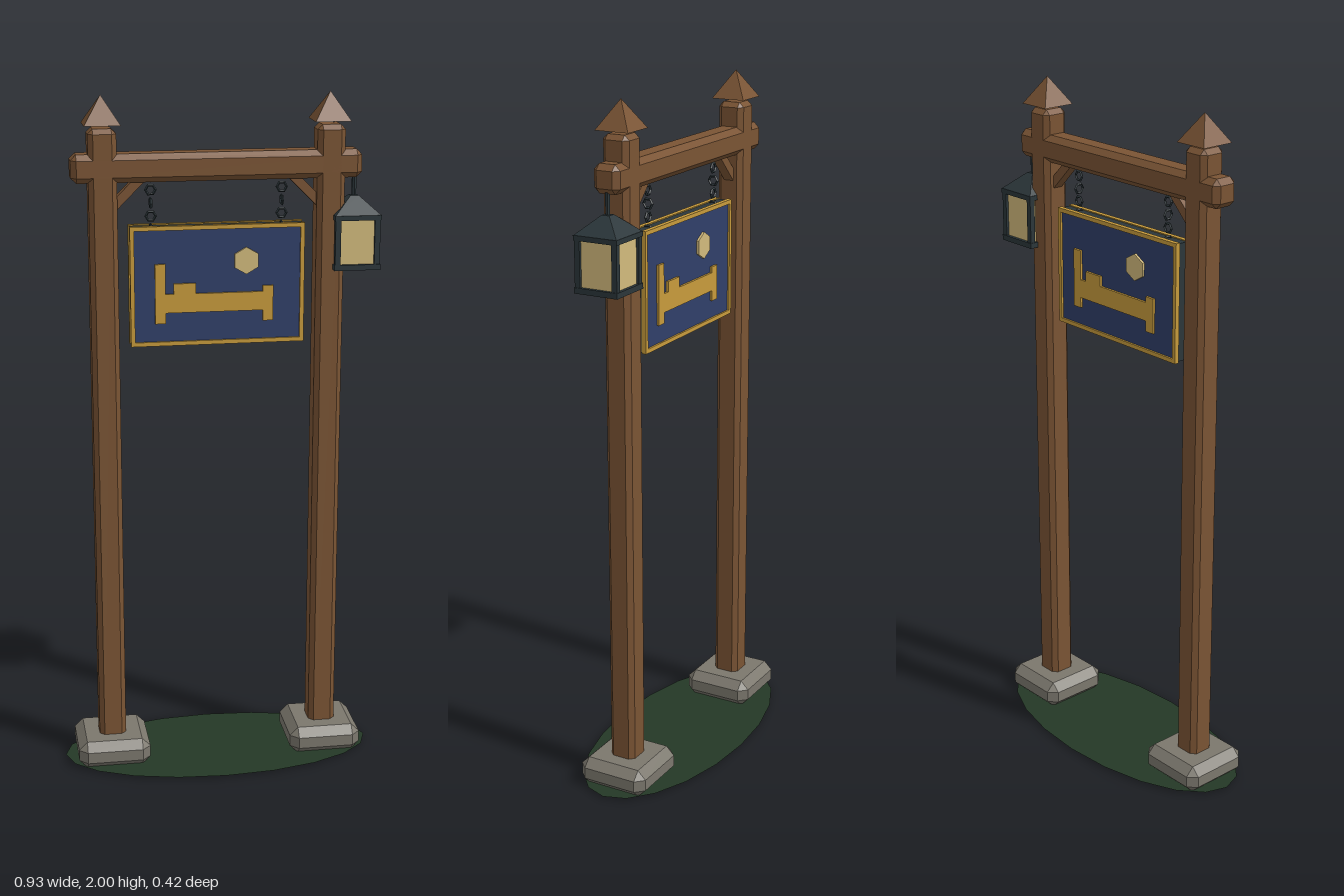
import * as THREE from 'three';
import { ConvexGeometry } from 'three/addons/geometries/ConvexGeometry.js';

const material = (name, color, side = THREE.FrontSide) => {
  const m = new THREE.MeshStandardMaterial({ color, side });
  m.name = name;
  return m;
};

// Faceted normals
function faceted(geometry) {
  const g = geometry.index ? geometry.toNonIndexed() : geometry;
  g.computeVertexNormals();
  return g;
}

// Box with every edge cut at 45 degrees
function bevelBox(w, h, d, c) {
  const points = [];
  const x = w / 2, y = h / 2, z = d / 2;
  for (const i of [-1, 1]) for (const j of [-1, 1]) for (const k of [-1, 1]) {
    points.push(
      new THREE.Vector3(i * x, j * (y - c), k * (z - c)),
      new THREE.Vector3(i * (x - c), j * y, k * (z - c)),
      new THREE.Vector3(i * (x - c), j * (y - c), k * z));
  }
  return new ConvexGeometry(points);
}

// Four-sided pyramid or frustum, given by half widths
function pyramid(top, bottom, height) {
  const g = new THREE.CylinderGeometry(top * Math.SQRT2, bottom * Math.SQRT2, height, 4);
  return faceted(g.rotateY(Math.PI / 4));
}

export function createModel() {
  const wood = material('wood', 0x7a5434);
  const stone = material('stone', 0x7b776d);
  const iron = material('dark iron', 0x2b363a);
  const navy = material('navy paint', 0x303f69);
  const gold = material('gold paint', 0xc79b3c);
  const glow = material('pale glow', 0xd2ba7c);
  const grass = material('grass', 0x243826, THREE.DoubleSide);

  const model = new THREE.Group();
  model.name = 'hangingSignpost';

  function add(parent, name, geometry, mat, x, y, z) {
    const mesh = new THREE.Mesh(geometry, mat);
    mesh.name = name;
    mesh.position.set(x, y, z);
    parent.add(mesh);
    return mesh;
  }
  function addGroup(parent, name, x, y, z) {
    const group = new THREE.Group();
    group.name = name;
    group.position.set(x, y, z);
    parent.add(group);
    return group;
  }
  const box = (w, h, d) => new THREE.BoxGeometry(w, h, d);

  // Flat oval of grass
  const oval = new THREE.CircleGeometry(1, 20).rotateX(-Math.PI / 2).scale(0.466, 1, 0.209);
  add(model, 'grassPatch', oval, grass, 0, 0.006, 0);

  // Posts with stone feet, pointed caps and corner braces
  for (const s of [-1, 1]) {
    const side = s > 0 ? 'left' : 'right';
    const x = s * 0.323;
    add(model, side + 'Foot', bevelBox(0.216, 0.084, 0.216, 0.025), stone, x, 0.042, 0);
    add(model, side + 'Post', bevelBox(0.08, 1.9, 0.08, 0.014), wood, x, 0.96, 0);
    add(model, side + 'Cap', pyramid(0, 0.051, 0.08), wood, x, 1.96, 0);
    const brace = add(model, side + 'Brace', box(0.15, 0.026, 0.03), wood, s * 0.252, 1.732, 0);
    brace.rotation.z = -s * Math.PI / 4;

    // Chain of links turned alternately
    const chain = addGroup(model, side + 'Chain', s * 0.187, 0, 0);
    for (let i = 0; i < 5; i++) {
      const link = faceted(new THREE.TorusGeometry(0.014, 0.004, 4, 6));
      const mesh = add(chain, 'link', link, iron, 0, 1.772 - i * 0.037, 0);
      mesh.rotation.y = i % 2 ? 0 : Math.PI / 2;
    }
  }
  add(model, 'crossbeam', bevelBox(0.824, 0.08, 0.08, 0.016), wood, 0, 1.8, 0);

  // Hanging board, painted alike on both sides
  const sign = addGroup(model, 'sign', 0, 1.4625, 0);
  add(sign, 'board', box(0.494, 0.339, 0.036), iron, 0, 0, 0);
  for (const s of [1, -1]) {
    const face = addGroup(sign, s > 0 ? 'frontFace' : 'backFace', 0, 0, 0);
    face.rotation.y = s > 0 ? 0 : Math.PI;
    add(face, 'panel', box(0.48, 0.325, 0.006), navy, 0, 0, 0.019);
    for (const e of [-1, 1]) {
      add(face, 'frameRail', box(0.5, 0.012, 0.014), gold, 0, e * 0.1665, 0.021);
      add(face, 'frameStile', box(0.012, 0.321, 0.014), gold, e * 0.244, 0, 0.021);
    }
    // Bed emblem and moon
    const emblem = [
      ['headboard', 0.03, 0.172, -0.165, -0.0215],
      ['mattress', 0.28, 0.054, -0.01, -0.0495],
      ['pillow', 0.064, 0.03, -0.095, -0.0075],
      ['footboard', 0.03, 0.102, 0.145, -0.0565],
    ];
    for (const [name, w, h, x, y] of emblem) add(face, name, box(w, h, 0.008), gold, x, y, 0.025);
    const moon = new THREE.CylinderGeometry(0.039, 0.039, 0.008, 6).rotateX(Math.PI / 2);
    add(face, 'moon', faceted(moon), glow, 0.082, 0.068, 0.025);
  }

  // Lantern hung from the end of the beam
  const lantern = addGroup(model, 'lantern', 0.396, 0, 0);
  add(lantern, 'hanger', faceted(new THREE.CylinderGeometry(0.007, 0.007, 0.08, 6)), iron, 0, 1.74, 0);
  add(lantern, 'roof', pyramid(0.012, 0.067, 0.05), iron, 0, 1.681, 0);
  add(lantern, 'topPlate', box(0.134, 0.014, 0.134), iron, 0, 1.65, 0);
  add(lantern, 'base', box(0.134, 0.016, 0.134), iron, 0, 1.508, 0);
  add(lantern, 'glass', box(0.114, 0.13, 0.114), glow, 0, 1.58, 0);
  for (const i of [-1, 1]) for (const k of [-1, 1]) {
    add(lantern, 'cornerBar', box(0.016, 0.13, 0.016), iron, i * 0.057, 1.58, k * 0.057);
  }
  return model;
}
